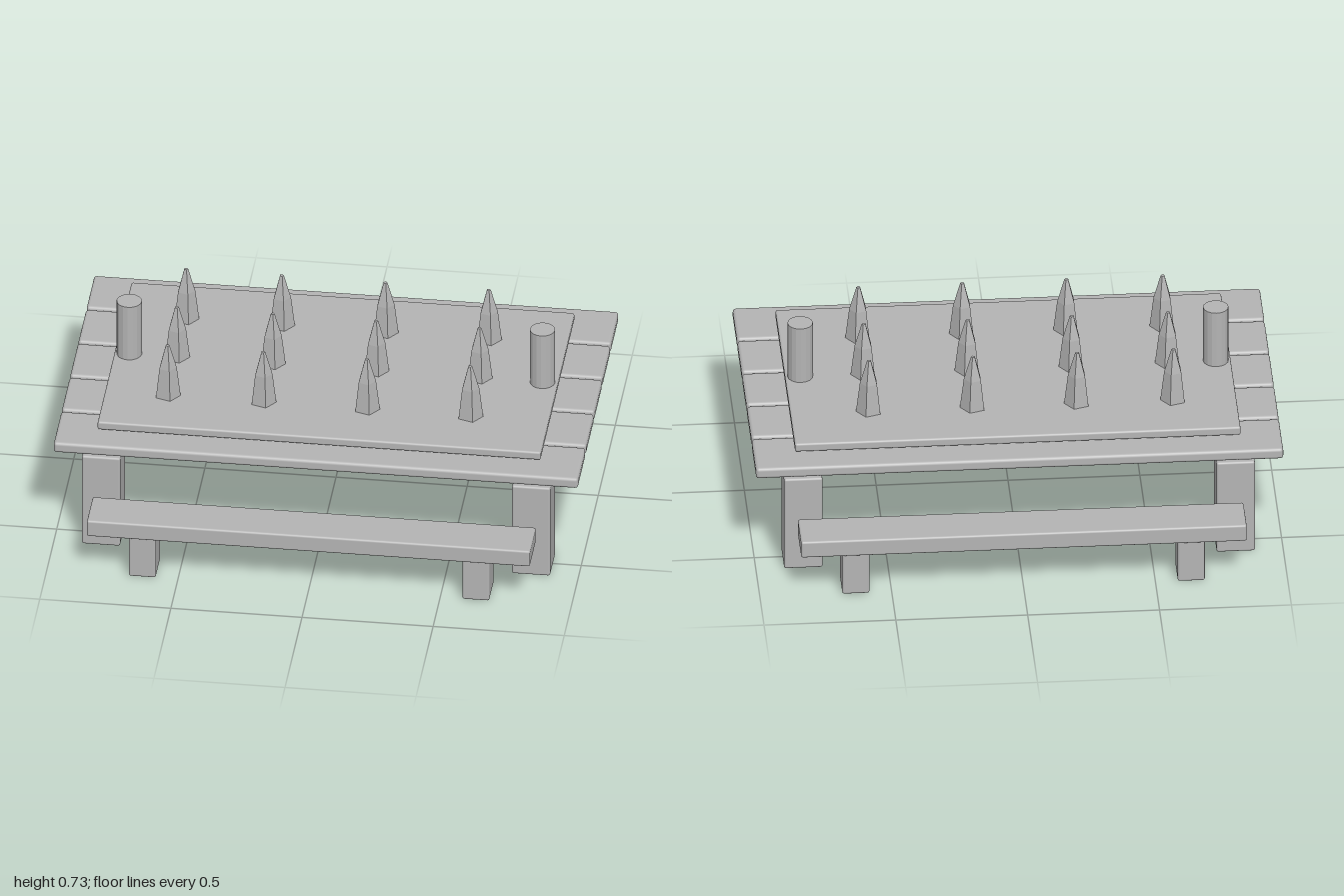
import * as THREE from 'three';
import { RoundedBoxGeometry } from 'three/addons/geometries/RoundedBoxGeometry.js';

export function createModel() {
  const model = new THREE.Group();
  model.name = 'spikedTable';
  const grey = new THREE.MeshStandardMaterial({ color: 0xb4b4b4 });
  grey.name = 'plain grey';
  const faceted = new THREE.MeshStandardMaterial({ color: 0xb4b4b4, flatShading: true });
  faceted.name = 'faceted grey';

  const add = (name, geometry, material, x, y, z) => {
    const mesh = new THREE.Mesh(geometry, material);
    mesh.name = name;
    mesh.position.set(x, y, z);
    model.add(mesh);
    return mesh;
  };
  // Softly bevelled block from its centre in x and z, and its bottom and top
  const block = (name, x, z, w, d, y0, y1, bevel = 0.008) =>
    add(name, new RoundedBoxGeometry(w, y1 - y0, d, 2, bevel), grey, x, (y0 + y1) / 2, z);

  // Table top: five planks with narrow gaps, and a raised board
  for (let i = -2; i <= 2; i++) block('tablePlank', 0, i * 0.2425, 2, 0.23, 0.407, 0.451, 0.012);
  block('raisedBoard', 0, 0, 1.69, 1, 0.46, 0.495);

  for (const sz of [-1, 1]) {
    // Benches along both long sides
    block('benchSeat', 0, sz * 0.728, 1.69, 0.176, 0.181, 0.25);
    for (const sx of [-1, 1]) {
      block('benchLeg', sx * 0.636, sz * 0.728, 0.103, 0.135, 0.003, 0.182);
      // Table legs, each with a small peg into the planks
      block('tableLeg', sx * 0.82, sz * 0.517, 0.146, 0.148, 0.003, 0.395);
      add('legPeg', new THREE.BoxGeometry(0.05, 0.03, 0.05), grey, sx * 0.802, 0.402, sz * 0.487);
    }
  }

  // Round post at each end of the board
  for (const sx of [-1, 1]) {
    add('endPost', new THREE.CylinderGeometry(0.048, 0.048, 0.242, 16), faceted, sx * 0.788, 0.609, 0.002);
  }

  // Three rows of five-sided spikes: tapered shaft below a sharper point
  const profile = [[0, 0.495], [0.05, 0.495], [0.035, 0.62], [0.008, 0.715], [0, 0.715]]
    .map(([r, y]) => new THREE.Vector2(r, y));
  const spike = new THREE.LatheGeometry(profile, 5);
  for (const z of [-0.273, 0, 0.273]) {
    for (const x of [-0.607, -0.242, 0.153, 0.547]) {
      add('spike', spike, faceted, x, 0, z).rotation.y = Math.PI / 2;
    }
  }
  return model;
}
